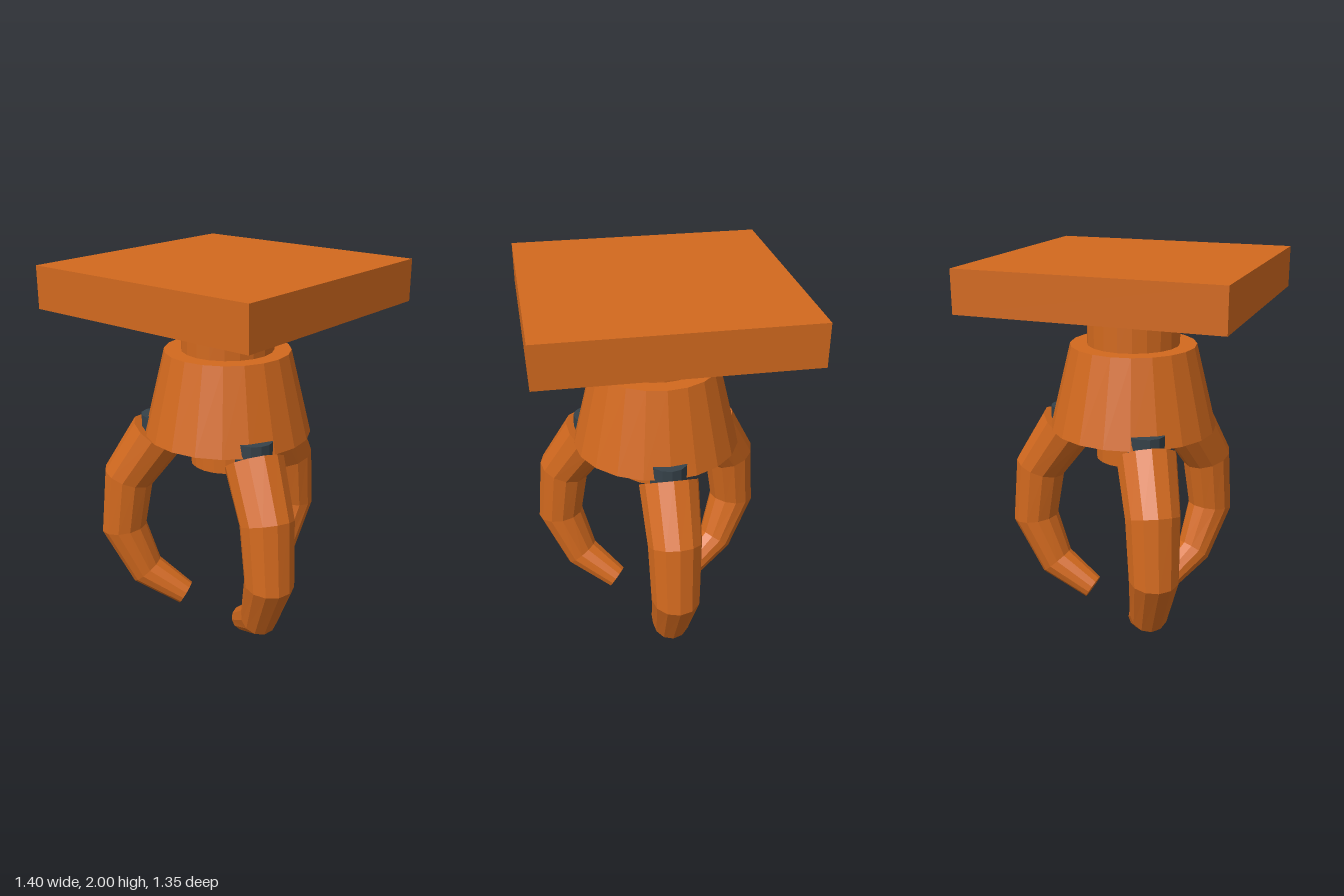
import * as THREE from 'three';

const SIDES = 12;
// Finger joints from knuckle to tip: inner x, y then outer x, y, measured from the claw axis
const JOINTS = [
  [0.255, 0.97, 0.515, 1.14],
  [0.43, 0.745, 0.695, 0.84],
  [0.475, 0.49, 0.73, 0.455],
  [0.40, 0.27, 0.55, 0.135],
  [0.215, 0.125, 0.285, 0.005],
];

// Bent, tapering tube skinned over tilted rings, capped at both ends
function fingerGeometry() {
  const pos = [], index = [];
  for (const [ix, iy, ox, oy] of JOINTS) {
    const hx = (ox - ix) / 2, hy = (oy - iy) / 2, r = Math.hypot(hx, hy);
    for (let j = 0; j < SIDES; j++) {
      const a = (j / SIDES) * Math.PI * 2, c = Math.cos(a);
      pos.push(ix + hx + c * hx, iy + hy + c * hy, r * Math.sin(a));
    }
  }
  const last = (JOINTS.length - 1) * SIDES;
  for (let j = 0; j < SIDES; j++) {
    const k = (j + 1) % SIDES;
    for (let b = 0; b < last; b += SIDES) {
      index.push(b + j, b + k, b + SIDES + k, b + j, b + SIDES + k, b + SIDES + j);
    }
    if (j > 0 && k > 0) index.push(0, k, j, last, last + j, last + k);
  }
  const g = new THREE.BufferGeometry();
  g.setAttribute('position', new THREE.Float32BufferAttribute(pos, 3));
  g.setIndex(index);
  const flat = g.toNonIndexed();
  flat.computeVertexNormals();
  return flat;
}

export function createModel() {
  const orange = new THREE.MeshStandardMaterial({ color: 0xd2691e, flatShading: true });
  orange.name = 'orange';
  const charcoal = new THREE.MeshStandardMaterial({ color: 0x36424a, flatShading: true });
  charcoal.name = 'charcoal';

  const model = new THREE.Group();
  model.name = 'ceilingClaw';
  const claw = new THREE.Group();
  claw.name = 'claw';
  claw.position.x = -0.03;
  model.add(claw);

  const add = (parent, name, geometry, material, x = 0, y = 0) => {
    const mesh = new THREE.Mesh(geometry, material);
    mesh.name = name;
    mesh.position.set(x, y, 0);
    parent.add(mesh);
  };
  const drum = (name, rTop, rBottom, y0, y1) =>
    add(claw, name, new THREE.CylinderGeometry(rTop, rBottom, y1 - y0, 20), orange, 0, (y0 + y1) / 2);

  // Mounting plate and stacked body
  add(claw, 'mountingPlate', new THREE.BoxGeometry(1.35, 0.22, 1.35), orange, 0, 1.89);
  drum('neck', 0.245, 0.245, 1.55, 1.78);
  drum('housing', 0.335, 0.445, 1.10, 1.55);
  drum('hub', 0.2, 0.2, 0.92, 1.10);

  // Three fingers, each hung from a dark pin
  const fingerGeo = fingerGeometry();
  const pinGeo = new THREE.CylinderGeometry(0.097, 0.097, 0.2, SIDES);
  for (let i = 0; i < 3; i++) {
    const arm = new THREE.Group();
    arm.name = 'arm' + (i + 1);
    arm.rotation.y = (i * Math.PI * 2) / 3;
    add(arm, 'finger', fingerGeo, orange);
    add(arm, 'pin', pinGeo, charcoal, 0.38, 1.07);
    claw.add(arm);
  }
  return model;
}
